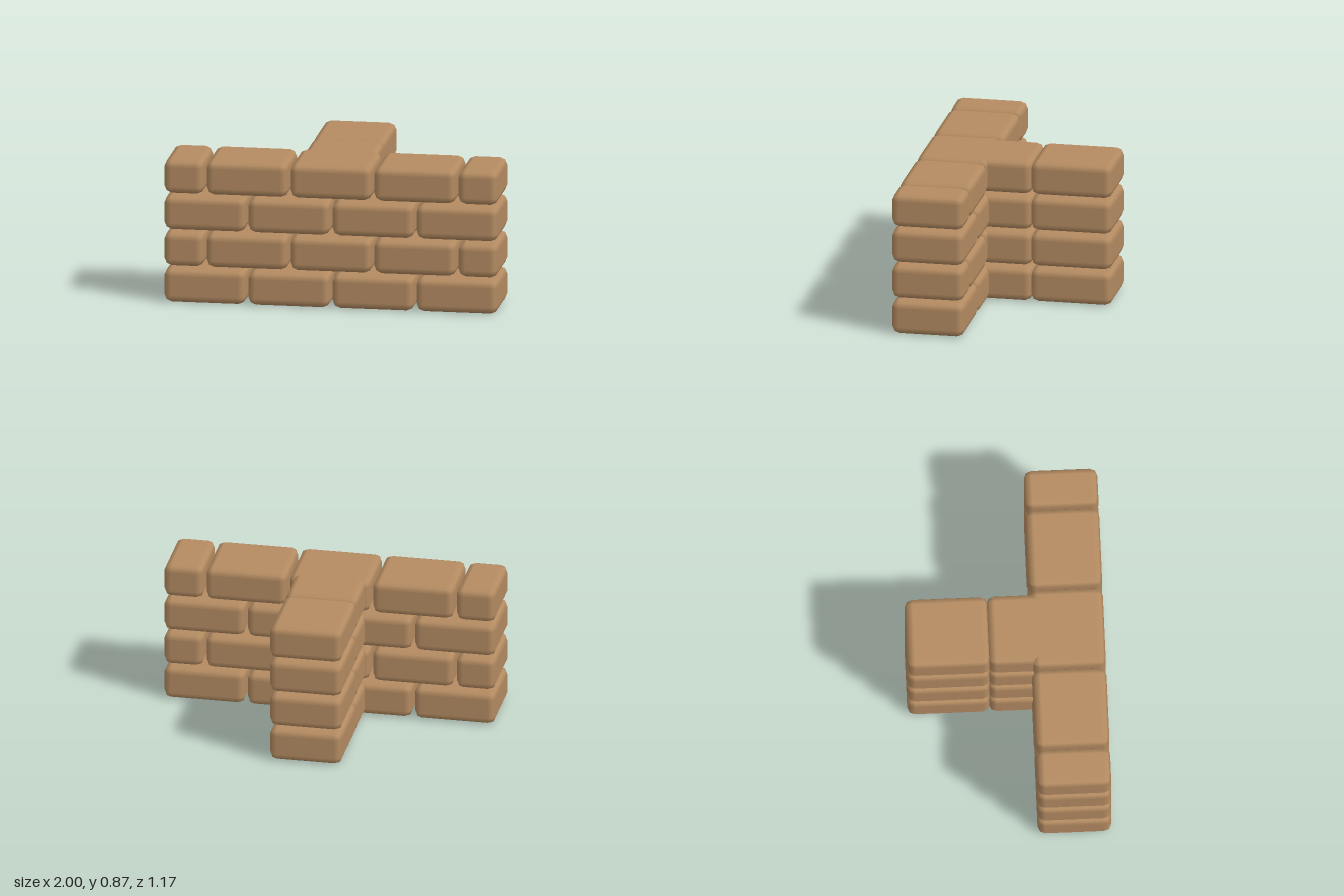
import * as THREE from 'three';
import { RoundedBoxGeometry } from 'three/addons/geometries/RoundedBoxGeometry.js';

const LENGTH = 0.489, HEIGHT = 0.207, DEPTH = 0.436, BEVEL = 0.045;
const PITCH = 0.5037, ROW_PITCH = 0.221;
const WALL_Z = 0.368;

export function createModel() {
  const model = new THREE.Group();
  model.name = 'brickWall';

  const clay = new THREE.MeshStandardMaterial({ color: 0xb58c62 });
  clay.name = 'clay';

  const fullBrick = new RoundedBoxGeometry(LENGTH, HEIGHT, DEPTH, 1, BEVEL);
  const halfBrick = new RoundedBoxGeometry(0.237, HEIGHT, DEPTH, 1, BEVEL);

  function addBrick(parent, name, geometry, x, z, turned = false) {
    const brick = new THREE.Mesh(geometry, clay);
    brick.name = name;
    brick.position.set(x, HEIGHT / 2, z);
    if (turned) brick.rotation.y = Math.PI / 2;
    parent.add(brick);
  }

  for (let row = 0; row < 4; row++) {
    const course = new THREE.Group();
    course.name = `course${row + 1}`;
    course.position.y = row * ROW_PITCH;

    // Long wall: four full bricks, or three full ones closed by halves
    const count = row % 2 === 0 ? 4 : 3;
    for (let i = 0; i < count; i++) {
      addBrick(course, 'wallBrick', fullBrick, (i - (count - 1) / 2) * PITCH, WALL_Z);
    }
    if (count === 3) {
      for (const side of [-1, 1]) addBrick(course, 'halfBrick', halfBrick, side * 0.8815, WALL_Z);
    }

    // Cross wall: the inner brick is bonded into the long wall
    addBrick(course, 'crossWallOuterBrick', fullBrick, 0, -0.3425, true);
    addBrick(course, 'crossWallInnerBrick', fullBrick, 0, -0.3425 + 0.482, true);

    model.add(course);
  }
  return model;
}
